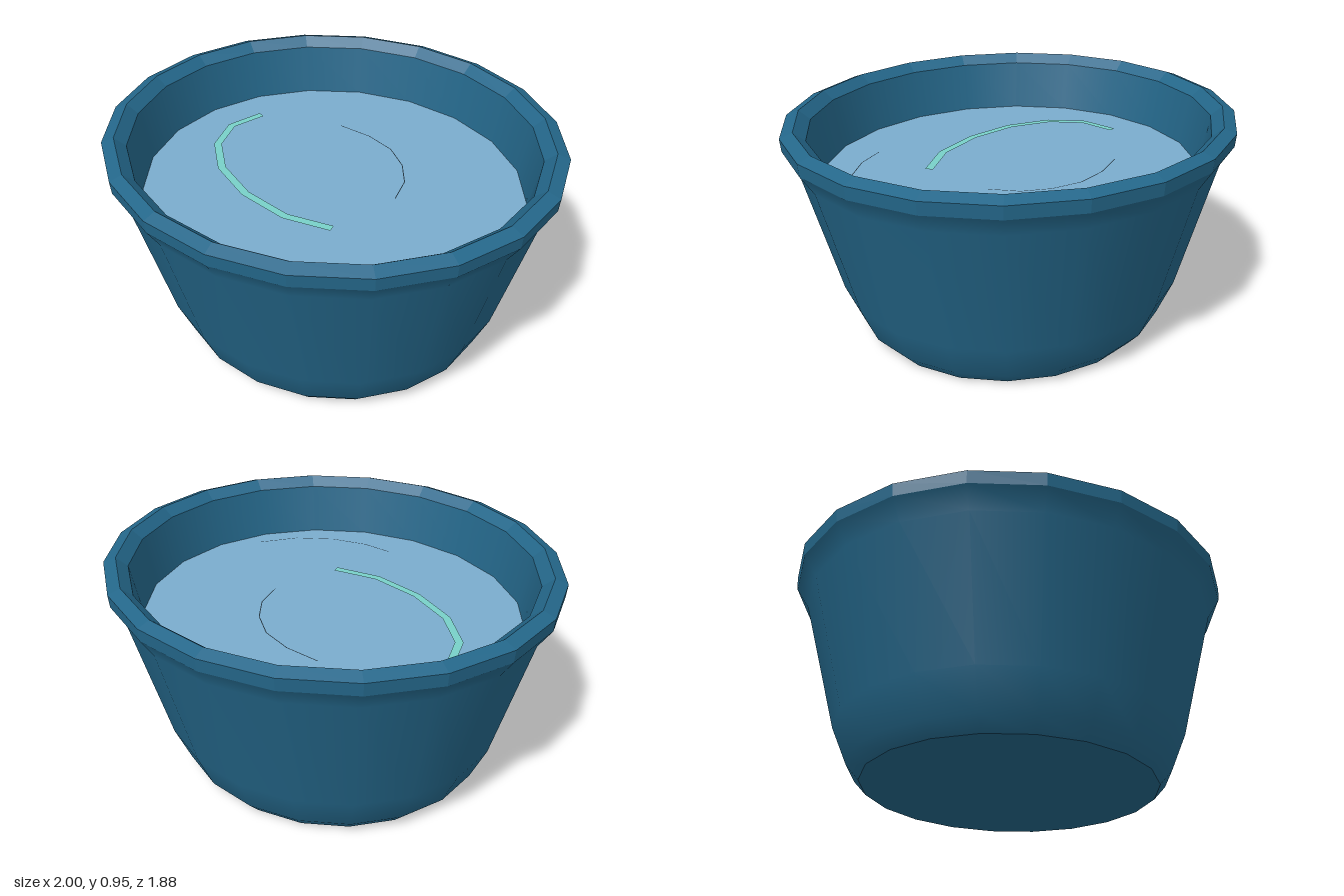
import * as THREE from 'three';

const SIDES = 20;
const DEPTH = 0.94; // the bowl is slightly oval
const WATER_Y = 0.69;

// One band of the bowl, turned from [radius, height] points
function turned(name, profile, material, flat = false) {
  let geo = new THREE.LatheGeometry(profile.map(([r, y]) => new THREE.Vector2(r, y)), SIDES);
  geo.scale(1, 1, DEPTH);
  if (flat) {
    geo = geo.toNonIndexed();
    geo.computeVertexNormals();
  }
  const mesh = new THREE.Mesh(geo, material);
  mesh.name = name;
  return mesh;
}

// Flat strip of constant width along [x, z] points
function ripple(name, points, width, material) {
  const path = points.map(([x, z]) => new THREE.Vector2(x, z));
  const position = [], index = [];
  path.forEach((p, i) => {
    const dir = path[Math.min(i + 1, path.length - 1)].clone().sub(path[Math.max(i - 1, 0)]).normalize();
    for (const s of [-width / 2, width / 2]) {
      position.push(p.x - dir.y * s, WATER_Y + 0.006, p.y + dir.x * s);
    }
    if (i > 0) {
      const a = 2 * i - 2;
      index.push(a, a + 1, a + 2, a + 1, a + 3, a + 2);
    }
  });
  const geo = new THREE.BufferGeometry();
  geo.setAttribute('position', new THREE.Float32BufferAttribute(position, 3));
  // All strips lie level, so every normal points up
  geo.setAttribute('normal', new THREE.Float32BufferAttribute(path.flatMap(() => [0, 1, 0, 0, 1, 0]), 3));
  // Corners run so that the strip faces up
  for (let i = 0; i < index.length; i += 3) {
    const [a, b, c] = [0, 1, 2].map(k => new THREE.Vector3().fromArray(position, index[i + k] * 3));
    if (b.sub(a).cross(c.sub(a)).y < 0) [index[i + 1], index[i + 2]] = [index[i + 2], index[i + 1]];
  }
  geo.setIndex(index);
  const mesh = new THREE.Mesh(geo, material);
  mesh.name = name;
  return mesh;
}

export function createModel() {
  const glaze = new THREE.MeshStandardMaterial({ name: 'bowl blue', color: 0x24678a });
  const water = new THREE.MeshStandardMaterial({ name: 'water blue', color: 0x7aaccd });
  const foam = new THREE.MeshStandardMaterial({ name: 'ripple green', color: 0x78d0c8 });

  const group = new THREE.Group();
  group.name = 'waterBowl';

  // Bowl body
  group.add(
    turned('base', [[0, 0], [0.66, 0]], glaze),
    turned('outerWall', [[0.66, 0], [0.715, 0.06], [0.785, 0.22], [0.94, 0.79], [0.995, 0.875]], glaze),
    turned('rim', [[0.995, 0.875], [1, 0.93], [0.945, 0.95], [0.895, 0.91]], glaze, true),
    turned('innerWall', [[0.895, 0.91], [0.85, WATER_Y - 0.005]], glaze),
  );

  // Water surface with its ripples
  group.add(
    turned('water', [[0.852, WATER_Y], [0, WATER_Y]], water),
    ripple('sideRipple', [[-0.65, -0.13], [-0.665, 0.04], [-0.575, 0.19], [-0.4, 0.3],
      [-0.17, 0.35], [0.07, 0.335], [0.265, 0.25]], 0.035, foam),
    ripple('backRipple', [[-0.31, -0.34], [-0.15, -0.37], [0, -0.36], [0.13, -0.3],
      [0.23, -0.21], [0.29, -0.09]], 0.004, water),
    ripple('frontRipple', [[0.74, 0.16], [0.66, 0.33], [0.53, 0.46], [0.38, 0.54], [0.24, 0.57]], 0.004, water),
  );
  return group;
}
